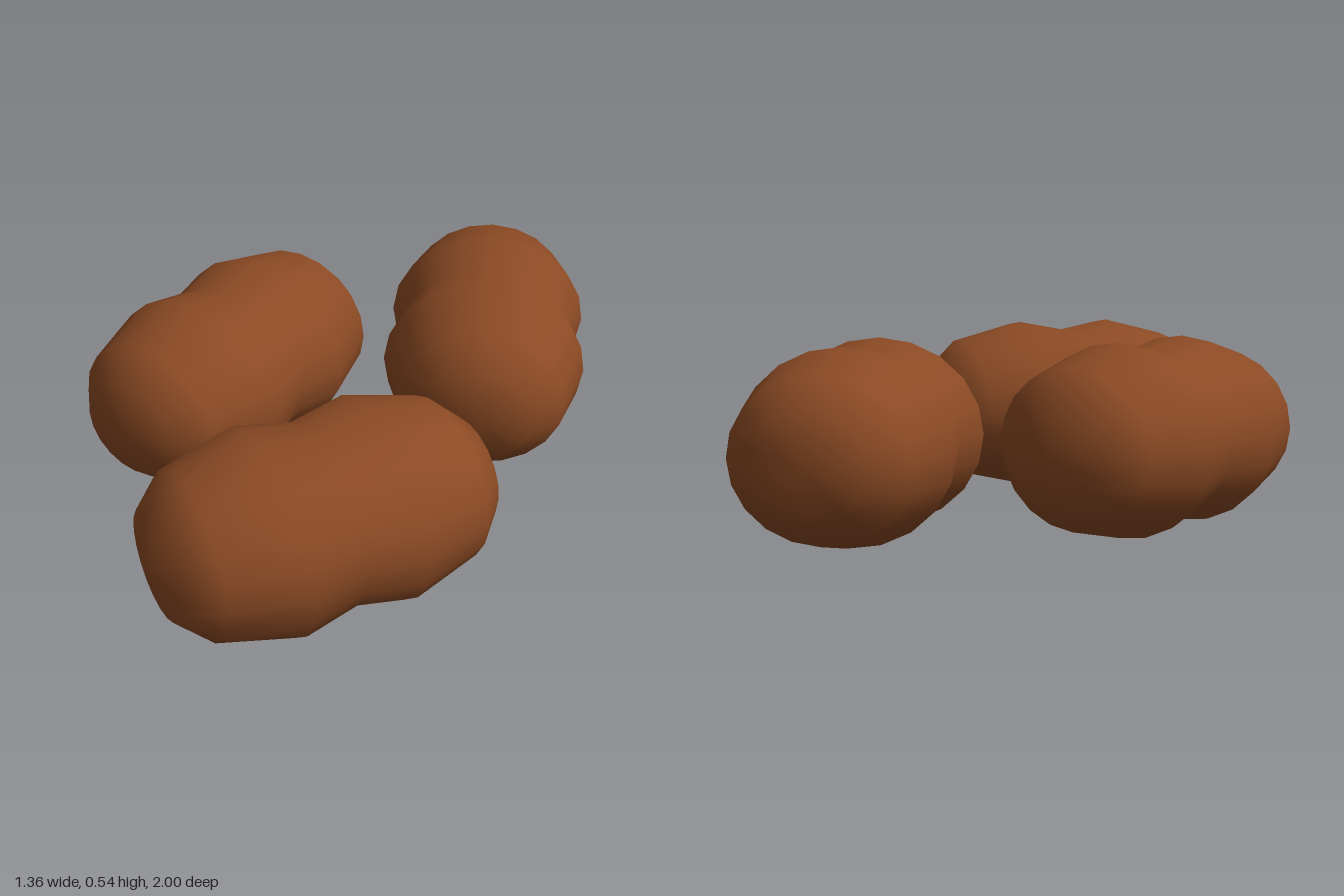
import * as THREE from 'three';
import { mergeVertices } from 'three/addons/utils/BufferGeometryUtils.js';

// Two-lobed bean: a waisted profile turned around its long axis (z), slightly flattened in y
function beanGeometry() {
  const half = [[0.272, 0], [0.306, 0.16], [0.248, 0.367], [0.16, 0.455], [0, 0.488]];
  const lower = half.slice(1).reverse().map(([r, t]) => new THREE.Vector2(r, -t));
  const upper = half.map(([r, t]) => new THREE.Vector2(r, t));
  let geo = new THREE.LatheGeometry([...lower, ...upper], 20);
  geo.rotateX(-Math.PI / 2);
  geo.scale(1, 0.89, 1);
  // Weld the seam and the tips so the shading is smooth all over
  geo.deleteAttribute('uv');
  geo.deleteAttribute('normal');
  geo = mergeVertices(geo, 1e-4);
  geo.computeVertexNormals();
  return geo;
}

export function createModel() {
  const group = new THREE.Group();
  group.name = 'beans';
  const brown = new THREE.MeshStandardMaterial({ color: 0x8b4a24 });
  brown.name = 'beanBrown';
  const geo = beanGeometry();

  // name, x, z, turn in degrees
  const beans = [
    ['rightBean', -0.365, 0.027, -2.9],
    ['backBean', 0.233, -0.521, 24.8],
    ['frontBean', 0.278, 0.523, -30.5],
  ];
  for (const [name, x, z, turn] of beans) {
    const bean = new THREE.Mesh(geo, brown);
    bean.name = name;
    bean.position.set(x, 0.273, z);
    bean.rotation.y = THREE.MathUtils.degToRad(turn);
    group.add(bean);
  }
  return group;
}
